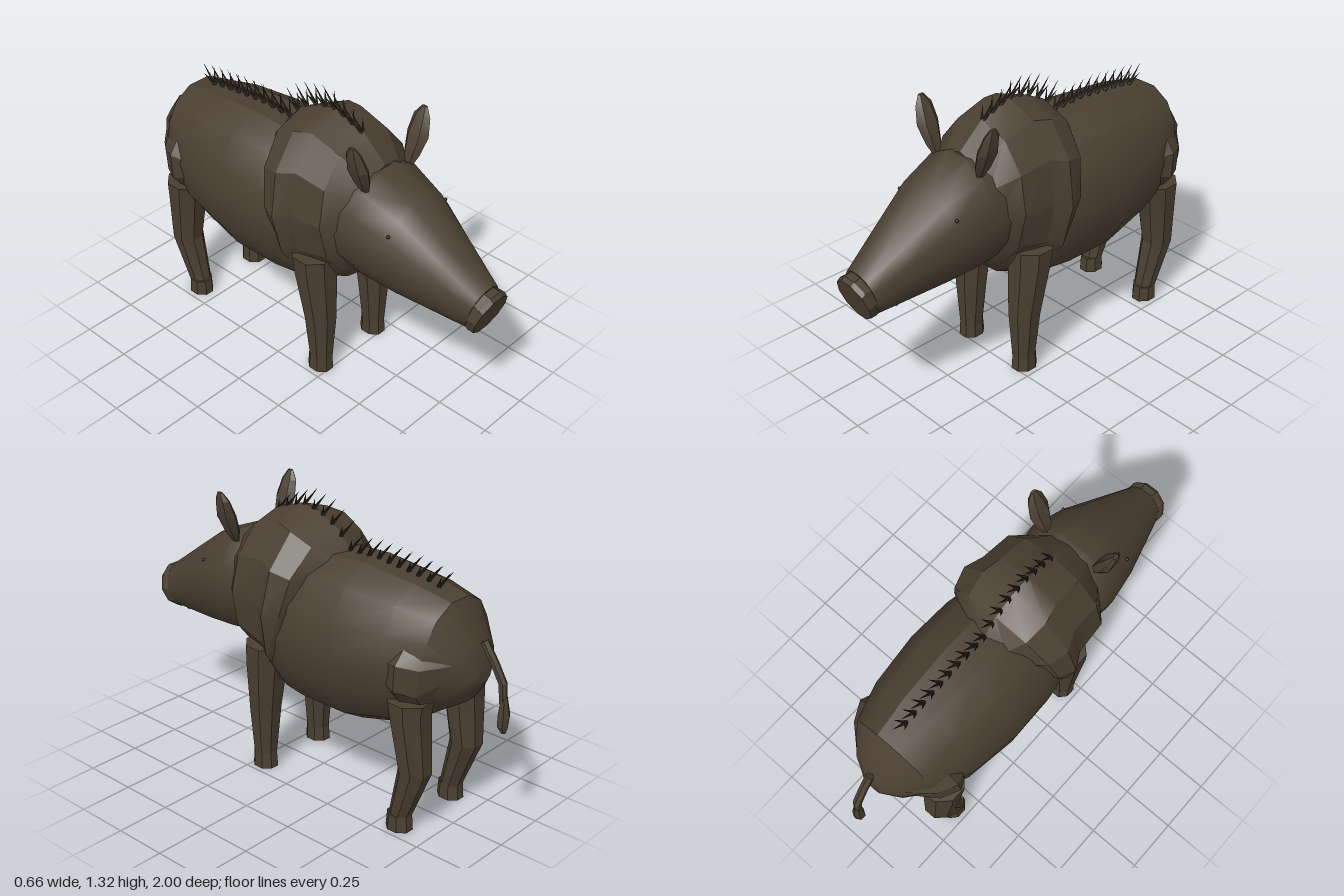
import * as THREE from 'three';
import { toCreasedNormals } from 'three/addons/utils/BufferGeometryUtils.js';

// Closed skin over rings running from front to back, or from top to bottom.
// Each ring is [z1, y1, z2, y2, halfWidth, centreX], where (z1, y1) and (z2, y2)
// are its top and bottom (or back and front) ends. A power under 1 makes it boxier.
function loft(rings, sides, crease, { phase = 0, mirror = 1, power = 1 } = {}) {
  const rows = rings.map(([z1, y1, z2, y2, w, cx = 0]) => {
    const row = [];
    for (let j = 0; j < sides; j++) {
      const a = ((j + phase) / sides) * Math.PI * 2;
      const t = (1 - Math.cos(a)) / 2;
      const x = Math.sign(Math.sin(a)) * Math.abs(Math.sin(a)) ** power;
      row.push([cx * mirror + w * x, y1 + (y2 - y1) * t, z1 + (z2 - z1) * t]);
    }
    return row;
  });
  const pos = [];
  const centre = ([z1, y1, z2, y2, , cx = 0]) => [cx * mirror, (y1 + y2) / 2, (z1 + z2) / 2];
  const last = rows.length - 1;
  for (let j = 0; j < sides; j++) {
    const k = (j + 1) % sides;
    pos.push(...centre(rings[0]), ...rows[0][k], ...rows[0][j]);
    pos.push(...centre(rings[last]), ...rows[last][j], ...rows[last][k]);
    for (let i = 0; i < last; i++) {
      const A = rows[i][j], B = rows[i][k], C = rows[i + 1][j], D = rows[i + 1][k];
      pos.push(...A, ...B, ...C, ...B, ...D, ...C);
    }
  }
  const g = new THREE.BufferGeometry();
  g.setAttribute('position', new THREE.Float32BufferAttribute(pos, 3));
  return toCreasedNormals(g, crease);
}

export function createModel() {
  const model = new THREE.Group();
  const hide = new THREE.MeshStandardMaterial({ name: 'brown hide', color: 0x4a3f31 });
  const dark = new THREE.MeshStandardMaterial({ name: 'dark bristle', color: 0x2a241c });

  const add = (name, geometry, material = hide, parent = model) => {
    const mesh = new THREE.Mesh(geometry, material);
    mesh.name = name;
    parent.add(mesh);
    return mesh;
  };

  // Barrel, shoulder hump, head and snout
  add('barrel', loft([
    [0.38, 0.9, 0.38, 0.58, 0.15], [0.25, 1.0, 0.25, 0.46, 0.22],
    [0.1, 1.06, 0.05, 0.378, 0.275], [-0.1, 1.095, -0.05, 0.37, 0.303],
    [-0.3, 1.105, -0.3, 0.37, 0.31], [-0.55, 1.08, -0.55, 0.435, 0.28],
    [-0.735, 1.04, -0.7, 0.54, 0.22], [-0.835, 0.89, -0.805, 0.61, 0.13],
    [-0.868, 0.78, -0.868, 0.71, 0.045],
  ], 14, 0.5, { phase: 0.5, power: 0.9 }));
  add('shoulder', loft([
    [0.39, 1.085, 0.38, 0.6, 0.19], [0.27, 1.19, 0.3, 0.53, 0.28],
    [0.12, 1.24, 0.14, 0.46, 0.29], [0.03, 1.225, 0.09, 0.43, 0.33],
    [-0.08, 1.17, 0.05, 0.5, 0.3], [-0.15, 1.09, 0.03, 0.6, 0.2],
  ], 12, 0.4, { power: 0.95 }));
  add('snout', loft([
    [1.0, 0.725, 0.935, 0.53, 0.1], [0.985, 0.74, 0.905, 0.532, 0.104],
    [0.95, 0.745, 0.89, 0.54, 0.097],
  ], 10, 0.4, { phase: 0.5 }));
  add('head', loft([
    [0.95, 0.75, 0.9, 0.54, 0.098], [0.79, 0.865, 0.75, 0.548, 0.148],
    [0.58, 1.015, 0.58, 0.557, 0.209], [0.41, 1.085, 0.41, 0.572, 0.243],
    [0.3, 1.06, 0.3, 0.59, 0.235],
  ], 14, 0.7, { phase: 0.5, power: 0.9 }));

  for (const s of [1, -1]) {
    const side = s > 0 ? 'left' : 'right';
    const limb = { phase: 0.5, mirror: s };

    // Shallow haunch bulge
    add(side + 'Haunch', loft([
      [-0.5, 0.83, -0.52, 0.66, 0.05, 0.19], [-0.64, 0.9, -0.62, 0.59, 0.125, 0.165],
      [-0.73, 0.89, -0.7, 0.58, 0.115, 0.13], [-0.825, 0.86, -0.8, 0.7, 0.06, 0.07],
    ], 8, 0.3, limb));

    // Legs and hooves
    add(side + 'FrontLeg', loft([
      [0.065, 0.63, 0.268, 0.63, 0.106, 0.182], [0.08, 0.55, 0.268, 0.55, 0.103, 0.181],
      [0.122, 0.3, 0.27, 0.3, 0.077, 0.175], [0.146, 0.06, 0.256, 0.06, 0.052, 0.176],
    ], 8, 0.3, limb));
    add(side + 'RearLeg', loft([
      [-0.738, 0.63, -0.535, 0.63, 0.102, 0.18], [-0.73, 0.57, -0.55, 0.57, 0.098, 0.181],
      [-0.744, 0.3, -0.597, 0.3, 0.073, 0.176], [-0.648, 0.06, -0.548, 0.06, 0.05, 0.176],
    ], 8, 0.3, limb));
    for (const [name, z] of [['FrontHoof', 0.2], ['RearHoof', -0.597]]) {
      add(side + name, loft([
        [z - 0.056, 0.075, z + 0.056, 0.075, 0.052, 0.177],
        [z - 0.062, 0, z + 0.062, 0, 0.055, 0.177],
      ], 8, 0.3, limb));
    }

    // Leaf-shaped ears
    add(side + 'Ear', loft([
      [0.39, 1.275, 0.42, 1.275, 0.008, 0.22], [0.36, 1.235, 0.445, 1.235, 0.023, 0.208],
      [0.348, 1.16, 0.46, 1.16, 0.035, 0.185], [0.362, 1.08, 0.443, 1.08, 0.028, 0.153],
      [0.385, 1.03, 0.42, 1.03, 0.012, 0.135],
    ], 6, 0.3, { mirror: s }));

    // Eyes and tusk stubs
    const eye = add(side + 'Eye', new THREE.SphereGeometry(0.008, 8, 6), dark);
    eye.position.set(s * 0.181, 0.91, 0.57);
    const tusk = add(side + 'Tusk', new THREE.ConeGeometry(0.012, 0.035, 6));
    tusk.position.set(s * 0.08, 0.582, 0.81);
    tusk.rotation.z = -s * 0.9;
  }

  // Tail and tuft
  add('tail', loft([
    [-0.875, 0.9, -0.845, 0.88, 0.02], [-0.93, 0.82, -0.9, 0.805, 0.02],
    [-0.977, 0.74, -0.94, 0.735, 0.02], [-0.987, 0.62, -0.953, 0.62, 0.018],
  ], 6, 0.3));
  add('tailTuft', loft([
    [-0.985, 0.68, -0.955, 0.68, 0.014], [-1.0, 0.6, -0.945, 0.6, 0.028],
    [-0.995, 0.55, -0.945, 0.55, 0.024], [-0.985, 0.52, -0.965, 0.52, 0.01],
  ], 6, 0.3));

  // Mane of tufts along the spine: one long spike between two splayed ones
  const mane = new THREE.Group();
  mane.name = 'mane';
  model.add(mane);
  const spine = [[0.28, 1.17], [0.2, 1.205], [0.12, 1.235], [0.02, 1.215], [-0.08, 1.16],
    [-0.14, 1.09], [-0.3, 1.095], [-0.55, 1.07], [-0.66, 1.045]];
  const spineY = z => {
    const i = Math.max(1, spine.findIndex(p => p[0] <= z));
    const [z0, y0] = spine[i - 1], [z1, y1] = spine[i];
    return y0 + (y1 - y0) * (z - z0) / (z1 - z0);
  };
  const spike = new THREE.ConeGeometry(0.01, 1, 4).translate(0, 0.4, 0);
  const up = new THREE.Vector3(0, 1, 0);
  for (let n = 0; n < 18; n++) {
    const z = 0.27 - n * 0.0525;
    for (const [x, back, length] of [[0, -0.85, 0.13], [0.5, -0.6, 0.09], [-0.5, -0.6, 0.09]]) {
      const bristle = add('bristle', spike, dark, mane);
      bristle.position.set(0, spineY(z), z);
      bristle.quaternion.setFromUnitVectors(up, new THREE.Vector3(x, 1, back).normalize());
      bristle.scale.y = length;
    }
  }
  return model;
}
